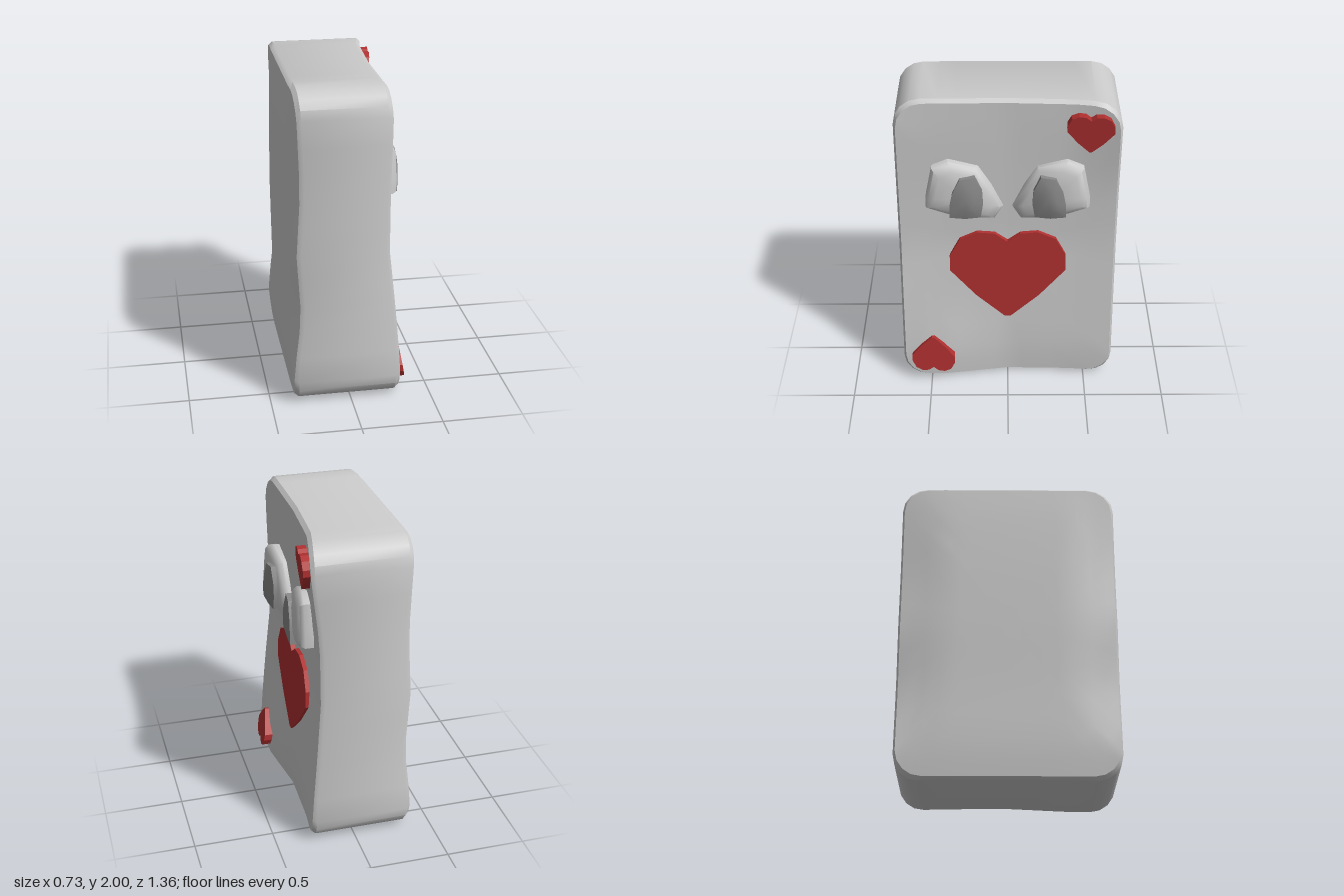
import * as THREE from 'three';
import { toCreasedNormals } from 'three/addons/utils/BufferGeometryUtils.js';

// Height fields over the card: rows run up y, columns run along z; values are x.
const ROWS = [0, 0.2, 0.6, 1, 1.4, 1.8, 2];
const COLS = [-0.68, -0.4, 0, 0.4, 0.68];
const FACE = [
  [0.28, 0.25, 0.24, 0.3, 0.3],
  [0.28, 0.26, 0.25, 0.31, 0.305],
  [0.25, 0.235, 0.23, 0.25, 0.27],
  [0.225, 0.21, 0.205, 0.215, 0.225],
  [0.23, 0.215, 0.21, 0.215, 0.225],
  [0.28, 0.235, 0.215, 0.225, 0.235],
  [0.29, 0.235, 0.215, 0.22, 0.225],
];
const BACK = [[-0.345, -0.35], [-0.36, -0.365], [-0.31, -0.36], [-0.335, -0.365],
  [-0.31, -0.365], [-0.325, -0.355], [-0.335, -0.34]].map(([e, m]) => [e, m, m, m, e]);

function locate(stops, v) {
  let i = 0;
  while (i < stops.length - 2 && v > stops[i + 1]) i++;
  return [i, THREE.MathUtils.clamp((v - stops[i]) / (stops[i + 1] - stops[i]), 0, 1)];
}

function sample(field, z, y) {
  const [r, v] = locate(ROWS, y);
  const [c, u] = locate(COLS, z);
  const row = (k) => THREE.MathUtils.lerp(field[k][c], field[k][c + 1], u);
  return THREE.MathUtils.lerp(row(r), row(r + 1), v);
}

// Closed solid: a [z, y] outline, scaled about a centre, in layers from front to back.
// Each layer is [scale, x(z, y)]; the end layers have scale 0.
function solid(name, outline, [cz, cy], layers, color = 0xcccccc, crease = 0.65) {
  const loop = outline.slice();
  if (THREE.ShapeUtils.area(loop.map(([z, y]) => new THREE.Vector2(-z, y))) < 0) loop.reverse();
  const n = loop.length;
  const position = [];
  const index = [];
  for (const [s, x] of layers) {
    for (const p of loop) {
      const z = cz + (p[0] - cz) * s;
      const y = cy + (p[1] - cy) * s;
      position.push(x(z, y), y, z);
    }
  }
  for (let k = 0; k < layers.length - 1; k++) {
    for (let i = 0; i < n; i++) {
      const a = k * n + i;
      const b = k * n + ((i + 1) % n);
      if (layers[k + 1][0] > 0) index.push(a, a + n, b + n);
      if (layers[k][0] > 0) index.push(a, b + n, b);
    }
  }
  const geometry = new THREE.BufferGeometry();
  geometry.setAttribute('position', new THREE.Float32BufferAttribute(position, 3));
  geometry.setIndex(index);
  const mesh = new THREE.Mesh(toCreasedNormals(geometry, crease), new THREE.MeshStandardMaterial({ color }));
  mesh.name = name;
  return mesh;
}

// Rounded rectangle with subdivided straight sides
function cardOutline() {
  const r = 0.16;
  const points = [];
  const corners = [[1, 1], [-1, 1], [-1, -1], [1, -1]];
  corners.forEach(([sz, sy], k) => {
    const cz = sz * (0.68 - r);
    const cy = 1 + sy * (1 - r);
    for (let i = 0; i <= 4; i++) {
      const a = (k + i / 4) * Math.PI / 2;
      points.push([cz + r * Math.cos(a), cy + r * Math.sin(a)]);
    }
    const end = points[points.length - 1];
    const [nz, ny] = corners[(k + 1) % 4];
    const a = (k + 1) * Math.PI / 2;
    const next = [nz * (0.68 - r) + r * Math.cos(a), 1 + ny * (1 - r) + r * Math.sin(a)];
    for (let i = 1; i < 10; i++) {
      points.push([0, 1].map((j) => THREE.MathUtils.lerp(end[j], next[j], i / 10)));
    }
  });
  return points;
}

const HEART = [[0, 0.22], [0.08, 0.28], [0.19, 0.29], [0.3, 0.24], [0.365, 0.12],
  [0.365, 0.01], [0.2, -0.18], [0.02, -0.34]];

// Flat heart plate whose front lies at x, tilted by slopes along z and y
function heart(name, z0, y0, scale, x, slopeZ, slopeY, thickness) {
  const half = HEART.map(([z, y]) => [z0 + z * Math.abs(scale), y0 + y * scale]);
  const outline = [...half, ...half.slice(1).reverse().map(([z, y]) => [2 * z0 - z, y])];
  const front = (z, y) => x + slopeZ * (z - z0) + slopeY * (y - y0);
  const back = (z, y) => front(z, y) - thickness;
  return solid(name, outline, [z0, y0], [[0, front], [1, front], [1, back], [0, back]], 0xb03030, 0.3);
}

export function createModel() {
  const model = new THREE.Group();

  // Warped card slab with a narrow bevel around both faces
  const face = (z, y) => sample(FACE, z, y);
  const back = (z, y) => sample(BACK, z, y);
  const steps = [0, 0.15, 0.3, 0.45, 0.6, 0.75, 0.88, 0.98];
  model.add(solid('cardBody', cardOutline(), [0, 1], [
    ...steps.map((s) => [s, face]),
    [1, (z, y) => face(z, y) - 0.025],
    [1, (z, y) => back(z, y) + 0.025],
    ...steps.slice().reverse().map((s) => [s, back]),
  ]));

  // Domed eyes with raised pupils, thinner toward the middle of the face
  const eye = [[0.5, 1.37], [0.46, 1.57], [0.36, 1.61], [0.18, 1.56], [0.1, 1.43],
    [0.03, 1.28], [0.08, 1.2], [0.24, 1.21], [0.38, 1.25], [0.5, 1.3]];
  const pupil = [[0.355, 1.26], [0.352, 1.34], [0.335, 1.43], [0.29, 1.52], [0.2, 1.53],
    [0.155, 1.43], [0.15, 1.34], [0.165, 1.25], [0.26, 1.245]];
  for (const side of [1, -1]) {
    const mirror = (points) => points.map(([z, y]) => [z * side, y]);
    const at = (x) => (z) => x + 0.1 * (Math.abs(z) - 0.27);
    const label = side > 0 ? 'First' : 'Second';
    model.add(solid('eye' + label, mirror(eye), [0.27 * side, 1.39], [
      [0, at(0.308)], [0.45, at(0.305)], [0.75, at(0.292)], [0.92, at(0.275)],
      [1, at(0.25)], [1, at(0.18)], [0, at(0.18)],
    ], 0xcccccc, 0.8));
    model.add(solid('pupil' + label, mirror(pupil), [0.25 * side, 1.39], [
      [0, at(0.346)], [0.5, at(0.342)], [1, at(0.322)], [1, at(0.27)], [0, at(0.27)],
    ], 0x888888));
  }

  // Heart nose and the two corner hearts, the lower one upside down
  model.add(heart('noseHeart', 0, 0.8, 1, 0.243, 0, -0.03, 0.05));
  model.add(heart('upperCornerHeart', -0.49, 1.82, 0.38, 0.3, -0.1, 0.07, 0.055));
  model.add(heart('lowerCornerHeart', 0.485, 0.2, -0.38, 0.34, -0.08, -0.17, 0.055));

  return model;
}
